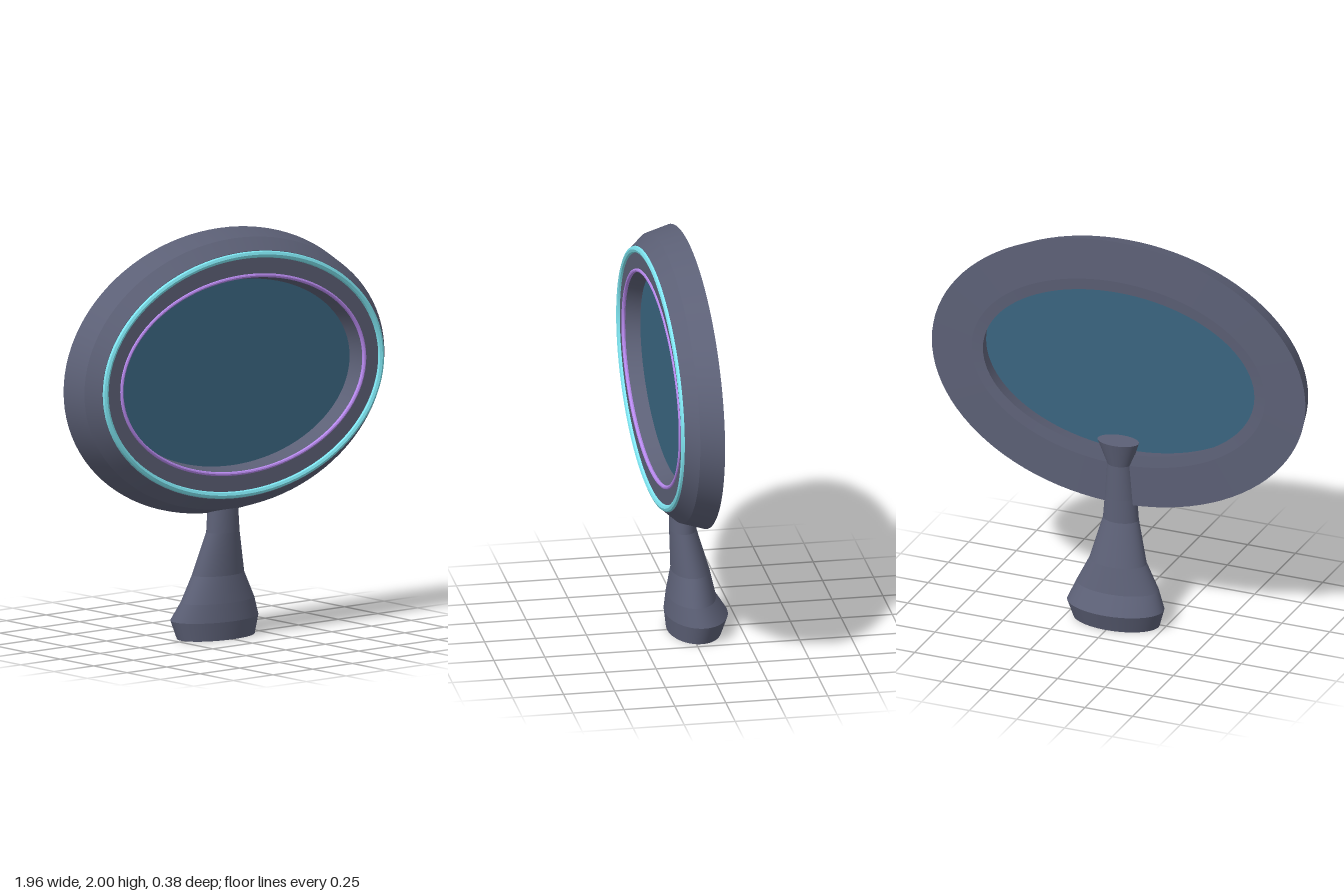
import * as THREE from 'three';
import { mergeGeometries } from 'three/addons/utils/BufferGeometryUtils.js';

const SEG = 96;
const RX = 0.98, RY = 0.695, CY = 1.305; // outer ellipse of the frame

const material = (color, side = THREE.FrontSide) =>
  new THREE.MeshStandardMaterial({ color, side });

// Bands between successive closed rings: smooth around, creased between bands.
function bands(rings, point) {
  const strips = [];
  for (let k = 0; k < rings.length - 1; k++) {
    const pos = [], index = [];
    for (const ring of [rings[k], rings[k + 1]])
      for (let i = 0; i < SEG; i++) pos.push(...point(ring, (i / SEG) * Math.PI * 2));
    for (let i = 0; i < SEG; i++) {
      const j = (i + 1) % SEG;
      index.push(i, j, SEG + j, i, SEG + j, SEG + i);
    }
    const g = new THREE.BufferGeometry();
    g.setAttribute('position', new THREE.Float32BufferAttribute(pos, 3));
    g.setIndex(index);
    g.computeVertexNormals();
    strips.push(g);
  }
  return mergeGeometries(strips);
}

// Upright ellipse, inset from the frame's outline: [inset, z]
const framePoint = ([inset, z], t) =>
  [(RX - inset) * Math.cos(t), CY + (RY - inset) * Math.sin(t), z];

// Level ellipse of the stand: [y, half width, back z, front z]
const standPoint = ([y, rx, back, front], t) =>
  [rx * Math.cos(t), y, (back + front) / 2 - ((front - back) / 2) * Math.sin(t)];

// Thin trim ring following the frame
function trim(inset, z, r) {
  const profile = [];
  for (let i = 0; i <= 8; i++) {
    const a = (i / 8) * Math.PI * 2;
    profile.push([inset - r * Math.cos(a), z + r * Math.sin(a)]);
  }
  return bands(profile, framePoint);
}

export function createModel() {
  const group = new THREE.Group();
  const add = (name, geometry, mat) => {
    const mesh = new THREE.Mesh(geometry, mat);
    mesh.name = name;
    group.add(mesh);
    return mesh;
  };
  const grey = material(0x5c6076);

  // Bevelled oval frame with a tapering opening
  add('frame', bands([
    [0, 0], [0.035, 0.115], [0.093, 0.18], [0.218, 0.18],
    [0.268, 0], [0.21, -0.005], [0, 0],
  ], framePoint), grey);

  // Trim rings on the front face
  add('outerTrim', trim(0.112, 0.177, 0.018), material(0x7fe6f2));
  add('innerTrim', trim(0.215, 0.178, 0.01), material(0xb98af0));

  // Glass pane set inside the opening
  const pane = add('glass', new THREE.CircleGeometry(1, SEG), material(0x3a6580, THREE.DoubleSide));
  pane.scale.set(0.738, 0.453, 1);
  pane.position.set(0, CY, 0.1);

  // Handle-like stand, flared at the foot and at the top
  add('stand', bands([
    [0, 0, -0.025, -0.025],
    [0, 0.22, -0.155, 0.105],
    [0.09, 0.247, -0.187, 0.115],
    [0.18, 0.21, -0.13, 0.105],
    [0.31, 0.145, -0.1, 0.085],
    [0.52, 0.09, -0.037, 0.093],
    [0.64, 0.08, -0.037, 0.093],
    [0.82, 0.062, -0.039, 0.065],
    [0.945, 0.105, -0.07, 0.06],
    [0.945, 0, -0.005, -0.005],
  ], standPoint), grey);

  return group;
}
